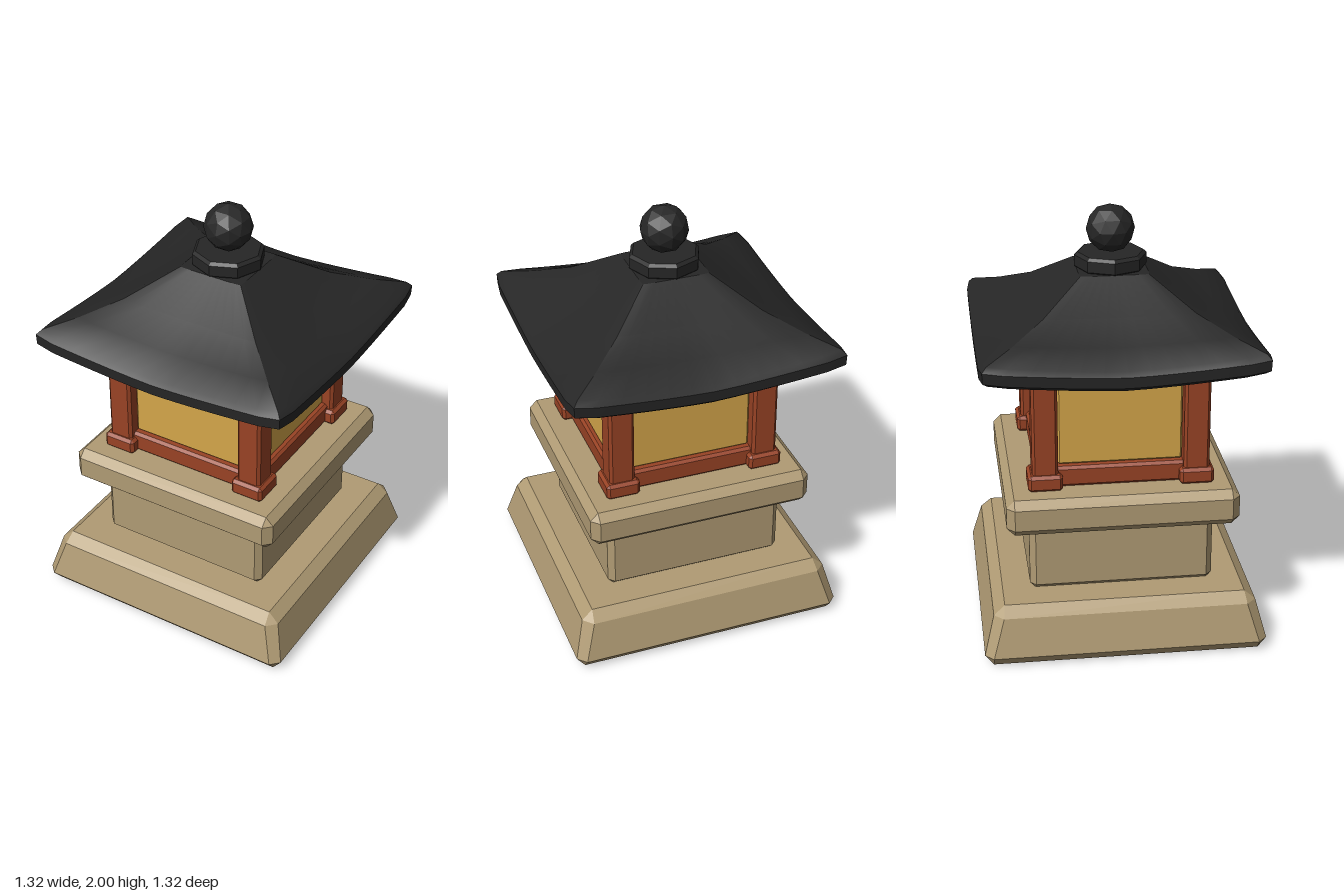
import * as THREE from 'three';
import { toCreasedNormals } from 'three/addons/utils/BufferGeometryUtils.js';

const material = (name, color, flat = false) => {
  const m = new THREE.MeshStandardMaterial({ color });
  m.name = name;
  m.flatShading = flat;
  return m;
};

// Skin a stack of rings (bottom to top) and close both ends
function loft(rings) {
  const pos = [];
  const tri = (...pts) => pts.forEach((p) => pos.push(p.x, p.y, p.z));
  const middle = (r) => r.reduce((s, p) => s.add(p), new THREE.Vector3()).divideScalar(r.length);
  const n = rings[0].length;
  const top = rings[rings.length - 1];
  const c0 = middle(rings[0]);
  const c1 = middle(top);
  for (let i = 0; i < n; i++) {
    const j = (i + 1) % n;
    tri(c0, rings[0][i], rings[0][j]);
    for (let k = 0; k < rings.length - 1; k++) {
      const a = rings[k], b = rings[k + 1];
      tri(a[i], b[i], a[j]);
      tri(a[j], b[i], b[j]);
    }
    tri(c1, top[j], top[i]);
  }
  const g = new THREE.BufferGeometry();
  g.setAttribute('position', new THREE.Float32BufferAttribute(pos, 3));
  g.computeVertexNormals();
  return g;
}

// Rectangle ring with cut corners
function cutRing(y, hx, hz, c) {
  return [
    [hx, -hz + c], [hx, hz - c], [hx - c, hz], [-hx + c, hz],
    [-hx, hz - c], [-hx, -hz + c], [-hx + c, -hz], [hx - c, -hz],
  ].map(([x, z]) => new THREE.Vector3(x, y, z));
}

// Box with every edge chamfered, standing on y = 0
const bevelBox = (w, h, d, c) => loft([
  cutRing(0, w / 2 - c, d / 2 - c, 0),
  cutRing(c, w / 2, d / 2, c),
  cutRing(h - c, w / 2, d / 2, c),
  cutRing(h, w / 2 - c, d / 2 - c, 0),
]);

// Square roof ring whose corners sweep upward
function roofRing(h, y, lift) {
  const ring = [];
  const n = 12;
  for (let side = 0; side < 4; side++) {
    for (let i = 0; i < n; i++) {
      const u = -1 + (2 * i) / n;
      const s = i === 0 ? h * 0.98 : h; // softened corner
      const p = new THREE.Vector3(s, y + lift * Math.abs(u) ** 1.4, u * s);
      ring.push(p.applyAxisAngle(new THREE.Vector3(0, 1, 0), (-side * Math.PI) / 2));
    }
  }
  return ring;
}

export function createModel() {
  const model = new THREE.Group();
  model.name = 'stoneLantern';
  const stone = material('stone', 0xb09b74, true);
  const wood = material('redWood', 0x994325, true);
  const paper = material('amberPaper', 0xd4a64a, true);
  const tile = material('blackTile', 0x262626);
  const tileFlat = tile.clone();
  tileFlat.flatShading = true;

  const add = (name, geometry, mat, parent = model, x = 0, y = 0, z = 0) => {
    const mesh = new THREE.Mesh(geometry, mat);
    mesh.name = name;
    mesh.position.set(x, y, z);
    parent.add(mesh);
    return mesh;
  };

  // Stone pedestal
  add('base', loft([
    cutRing(0, 0.62, 0.62, 0),
    cutRing(0.05, 0.66, 0.66, 0.04),
    cutRing(0.23, 0.612, 0.612, 0.045),
    cutRing(0.275, 0.56, 0.56, 0),
  ]), stone);
  add('pedestal', loft([
    cutRing(0.275, 0.405, 0.405, 0),
    cutRing(0.298, 0.43, 0.43, 0.028),
    cutRing(0.62, 0.43, 0.43, 0.028),
  ]), stone);
  add('platform', bevelBox(1.075, 0.175, 1.075, 0.037), stone, model, 0, 0.6, 0);

  // Corner posts with feet
  const postGeo = bevelBox(0.12, 0.58, 0.12, 0.013);
  const footGeo = bevelBox(0.16, 0.078, 0.16, 0.014);
  for (const x of [-0.35, 0.35]) {
    for (const z of [-0.35, 0.35]) {
      add('post', postGeo, wood, model, x, 0.775, z);
      add('postFoot', footGeo, wood, model, x, 0.773, z);
    }
  }

  // Four walls: rails and paper window
  const railGeo = bevelBox(0.66, 0.1, 0.08, 0.013);
  const paneGeo = bevelBox(0.575, 0.385, 0.03, 0.008);
  for (let i = 0; i < 4; i++) {
    const wall = new THREE.Group();
    wall.name = 'wall';
    wall.rotation.y = (i * Math.PI) / 2;
    add('lowerRail', railGeo, wood, wall, 0, 0.775, 0.345);
    add('upperRail', railGeo, wood, wall, 0, 1.268, 0.345);
    add('windowPane', paneGeo, paper, wall, 0, 0.879, 0.345);
    model.add(wall);
  }

  // Swept roof
  add('roof', toCreasedNormals(loft([
    roofRing(0.4, 1.345, 0.01),
    roofRing(0.62, 1.336, 0.045),
    roofRing(0.643, 1.355, 0.045),
    roofRing(0.645, 1.405, 0.045),
    roofRing(0.625, 1.425, 0.047),
    roofRing(0.5, 1.488, 0.025),
    roofRing(0.35, 1.575, 0.005),
    roofRing(0.16, 1.71, 0),
  ]), 0.5), tile);

  // Octagonal collar and faceted ball on top
  const collar = [[0, 1.7], [0.155, 1.7], [0.168, 1.715], [0.168, 1.766], [0.153, 1.78], [0, 1.78]];
  add('collar', new THREE.LatheGeometry(collar.map((p) => new THREE.Vector2(...p)), 8), tileFlat);
  add('finialBall', new THREE.IcosahedronGeometry(0.113, 1), tileFlat, model, 0, 1.887, 0);

  return model;
}
